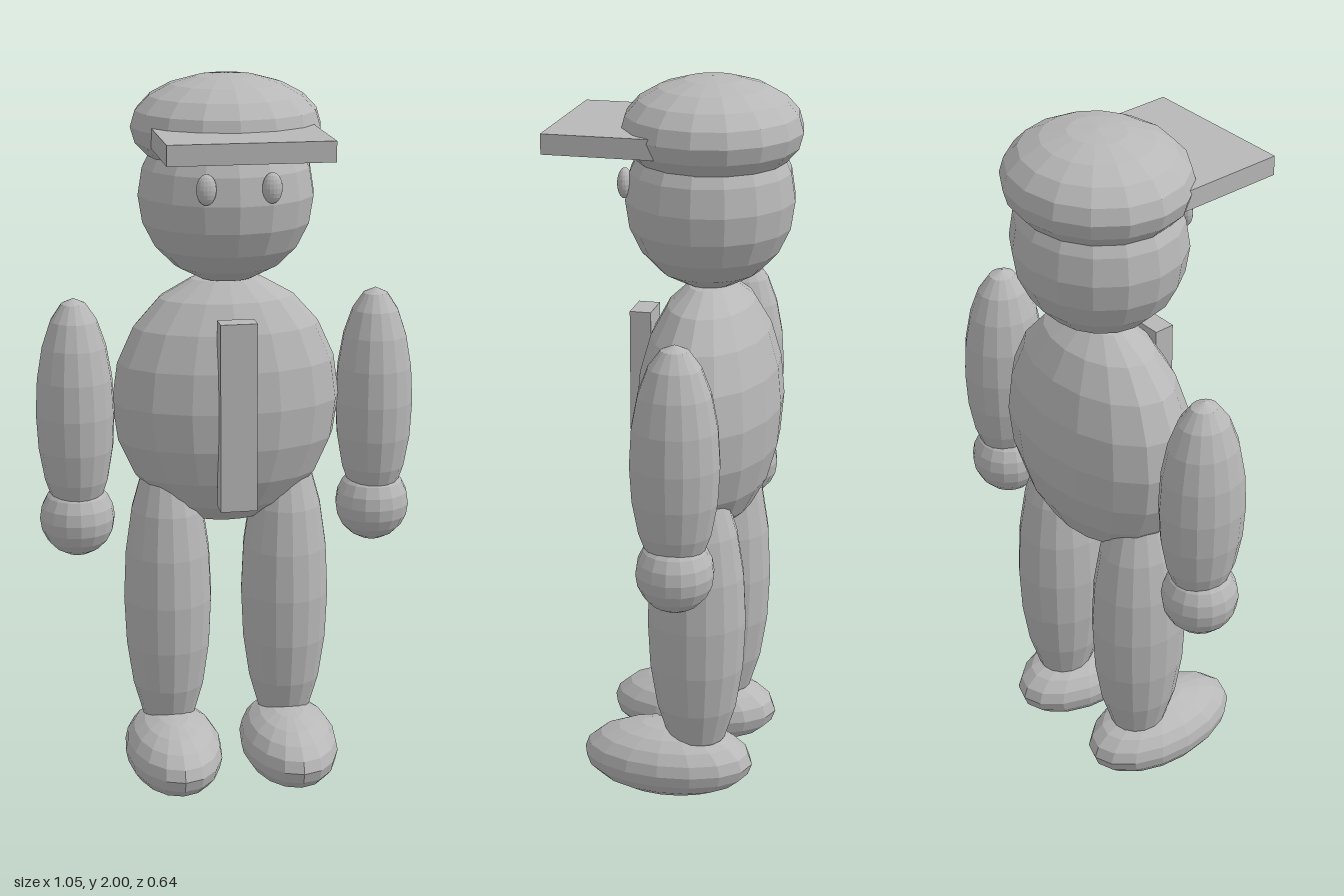
import * as THREE from 'three';

const Z = -0.082; // depth of the figure's vertical axis

export function createModel() {
  const model = new THREE.Group();
  model.name = 'figure';
  const grey = new THREE.MeshStandardMaterial({ color: 0xb8b8b8 });
  grey.name = 'grey';
  grey.flatShading = true;

  const add = (name, geometry, [x, y, z]) => {
    const mesh = new THREE.Mesh(geometry, grey);
    mesh.name = name;
    mesh.position.set(x, y, z);
    model.add(mesh);
  };
  // Faceted ellipsoid given its centre and radii
  const blob = (name, centre, radii) =>
    add(name, new THREE.SphereGeometry(1, 16, 10).scale(...radii), centre);
  const box = (name, centre, size) =>
    add(name, new THREE.BoxGeometry(...size), centre);

  // Torso, head and cap
  blob('torso', [0, 1.11, Z], [0.317, 0.355, 0.193]);
  blob('head', [0, 1.68, -0.078], [0.24, 0.24, 0.226]);
  blob('cap', [0, 1.862, Z], [0.258, 0.138, 0.241]);
  box('capVisor', [0, 1.847, 0.16], [0.432, 0.054, 0.32]);
  box('tie', [0, 1.105, 0.103], [0.1, 0.52, 0.058]);

  // Mirrored parts
  for (const [side, s] of [['left', 1], ['right', -1]]) {
    blob(side + 'Eye', [s * 0.087, 1.726, 0.132], [0.027, 0.041, 0.02]);
    blob(side + 'Arm', [s * 0.418, 1.085, Z], [0.108, 0.32, 0.119]);
    blob(side + 'Hand', [s * 0.418, 0.785, Z], [0.104, 0.108, 0.104]);
    blob(side + 'Leg', [s * 0.167, 0.54, Z], [0.124, 0.44, 0.137]);
    blob(side + 'Foot', [s * 0.166, 0.105, 0], [0.136, 0.104, 0.241]);
  }
  return model;
}
